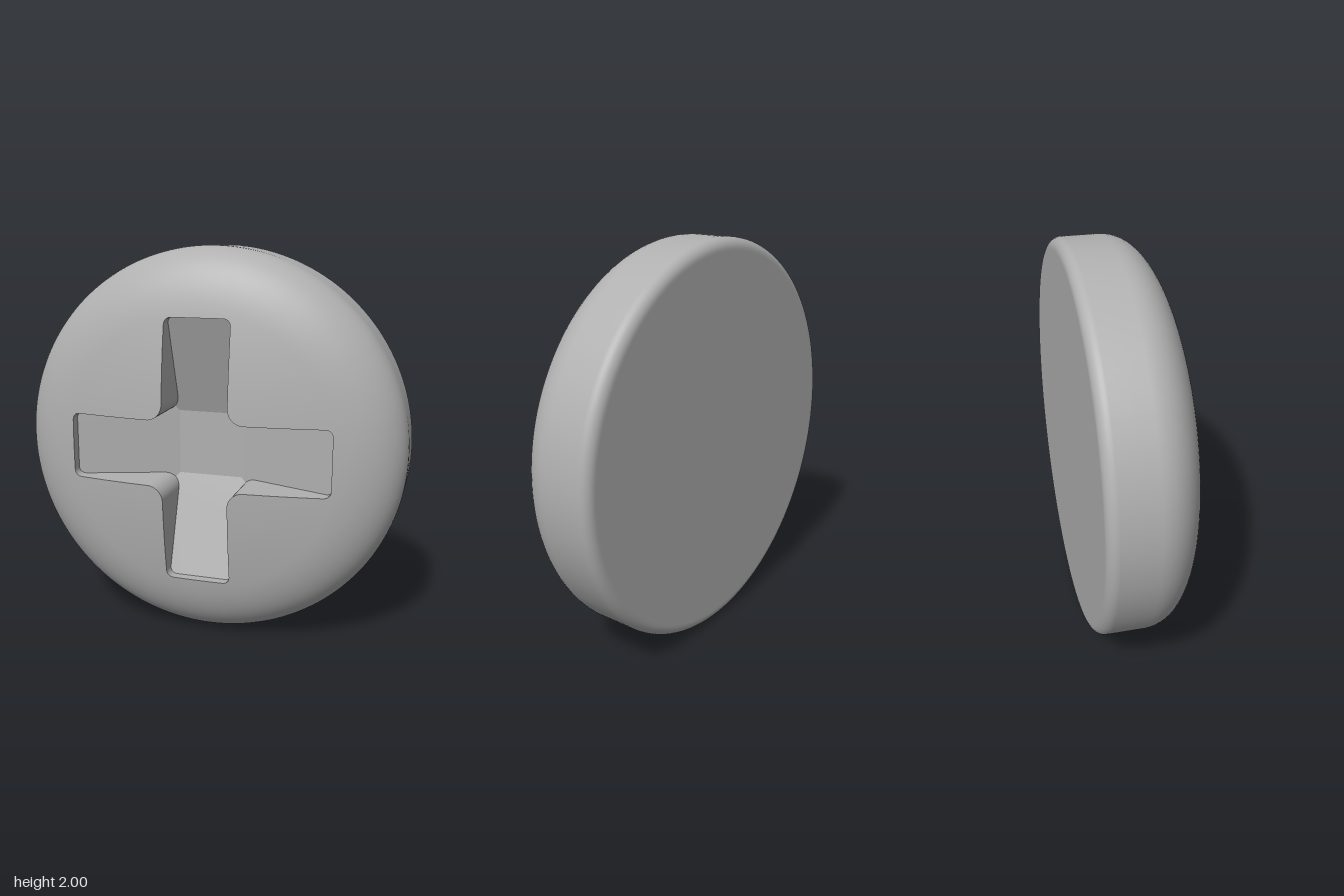
import * as THREE from 'three';

const HALF = 0.167;      // half width of a slot arm
const TIP = 0.667;       // reach of a slot arm
const DEEP = -0.01;      // depth of the slot centre
const SHALLOW = 0.165;   // depth of the slot floor at a tip
const RIM = 0.7;         // where the shallow dome meets the shoulder

const dome = r => 0.28 - 0.14 * r * r;
const ramp = d => DEEP + (SHALLOW - DEEP) * (d - HALF) / (TIP - HALF);

function arc(cx, cy, r, from, to, steps) {
  const pts = [];
  for (let i = 0; i <= steps; i++) {
    const a = THREE.MathUtils.degToRad(from + (to - from) * i / steps);
    pts.push(new THREE.Vector2(cx + r * Math.cos(a), cy + r * Math.sin(a)));
  }
  return pts;
}

// Outline of one slot arm, from diagonal to diagonal, with long edges subdivided
function armOutline() {
  const f = 0.08, c = 0.035;
  const raw = [
    ...arc(HALF + f, -HALF - f, f, 135, 90, 6),
    ...arc(TIP - c, -HALF + c, c, -90, 0, 5),
    ...arc(TIP - c, HALF - c, c, 0, 90, 5),
    ...arc(HALF + f, HALF + f, f, 270, 225, 6),
  ];
  const out = [raw[0]];
  for (let i = 1; i < raw.length; i++) {
    const n = Math.ceil(raw[i - 1].distanceTo(raw[i]) / 0.025);
    for (let k = 1; k <= n; k++) out.push(raw[i - 1].clone().lerp(raw[i], k / n));
  }
  return out;
}

// Skin closed rings of equal point count
function loft(rings) {
  const n = rings[0].length, pos = [], idx = [];
  rings.forEach(ring => ring.forEach(p => pos.push(p.x, p.y, p.z)));
  for (let i = 0; i < rings.length - 1; i++) {
    for (let j = 0; j < n; j++) {
      const k = (j + 1) % n;
      const a = i * n + j, b = i * n + k, c = a + n, d = b + n;
      idx.push(a, c, b, b, c, d);
    }
  }
  const g = new THREE.BufferGeometry();
  g.setAttribute('position', new THREE.Float32BufferAttribute(pos, 3));
  g.setIndex(idx);
  g.computeVertexNormals();
  return g;
}

export function createModel() {
  const group = new THREE.Group();
  const steel = new THREE.MeshStandardMaterial({ color: 0xb0b0b0 });
  steel.name = 'steel grey';
  const add = (name, geometry) => {
    const mesh = new THREE.Mesh(geometry, steel);
    mesh.name = name;
    mesh.position.y = 1;
    group.add(mesh);
    return mesh;
  };

  const arm = armOutline();
  const cross = [];
  for (let q = 0; q < 4; q++) {
    arm.slice(0, -1).forEach(p => cross.push(p.clone().rotateAround(new THREE.Vector2(), q * Math.PI / 2)));
  }

  // Domed head: from the slot edge over the shoulder to the back edge
  const rings = [];
  for (let i = 0; i <= 8; i++) {
    rings.push(cross.map(p => {
      const r = THREE.MathUtils.lerp(p.length(), RIM, i / 8);
      const q = p.clone().setLength(r);
      return new THREE.Vector3(q.x, q.y, dome(r));
    }));
  }
  const shoulder = new THREE.CubicBezierCurve(
    new THREE.Vector2(RIM, dome(RIM)), new THREE.Vector2(0.86, 0.18),
    new THREE.Vector2(1, 0.1), new THREE.Vector2(1, -0.04));
  const profile = [
    ...shoulder.getPoints(18).slice(1),
    new THREE.Vector2(1, -0.13),
    ...arc(0.945, -0.22, 0.055, 0, -90, 8),
    new THREE.Vector2(0.935, -0.275),
  ];
  profile.forEach(({ x: r, y: z }) => rings.push(cross.map(p => {
    const q = p.clone().setLength(r);
    return new THREE.Vector3(q.x, q.y, z);
  })));
  add('head', loft(rings));

  // Flat back
  const back = add('backFace', new THREE.CircleGeometry(0.937, 128));
  back.rotation.y = Math.PI;
  back.position.z = -0.275;

  // Upright walls of the cross slot
  add('slotWalls', loft([
    cross.map(p => new THREE.Vector3(p.x, p.y, ramp(Math.max(Math.abs(p.x), Math.abs(p.y))))),
    cross.map(p => new THREE.Vector3(p.x, p.y, dome(p.length()))),
  ]));

  // Slot floor: flat centre and four ramps rising to the tips
  add('slotCentre', new THREE.PlaneGeometry(2 * HALF, 2 * HALF)).position.z = DEEP;
  const shape = new THREE.Shape([new THREE.Vector2(HALF, -HALF), ...arm, new THREE.Vector2(HALF, HALF)]);
  for (let q = 0; q < 4; q++) {
    const g = new THREE.ShapeGeometry(shape);
    const p = g.attributes.position;
    for (let i = 0; i < p.count; i++) p.setZ(i, ramp(p.getX(i)));
    g.computeVertexNormals();
    add('slotRamp', g).rotation.z = q * Math.PI / 2;
  }
  return group;
}
